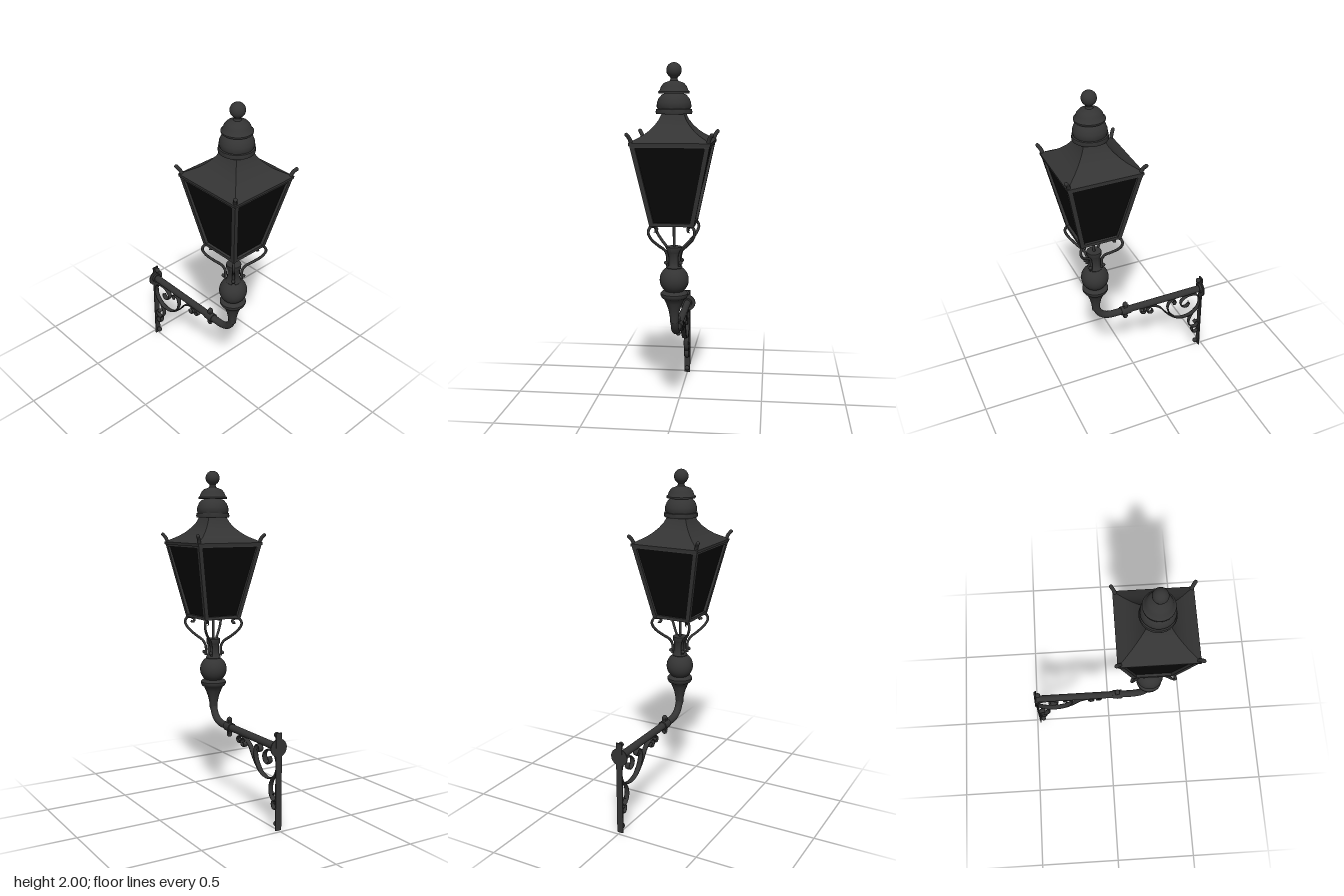
import * as THREE from 'three';
import { toCreasedNormals } from 'three/addons/utils/BufferGeometryUtils.js';

const iron = new THREE.MeshStandardMaterial({ color: 0x343434 });
iron.name = 'cast iron';
const glass = new THREE.MeshStandardMaterial({ color: 0x080808, side: THREE.DoubleSide });
glass.name = 'dark glass';

const AXIS = 0.25; // z of the lantern's axis
const PIPE = 0.475; // height of the wall arm

export function createModel() {
  const root = new THREE.Group();
  root.name = 'wallLantern';
  const lamp = new THREE.Group();
  lamp.name = 'lantern';
  lamp.position.z = AXIS;
  root.add(lamp);

  const add = (parent, name, geo, x = 0, y = 0, z = 0, mat = iron) => {
    const mesh = new THREE.Mesh(geo, mat);
    mesh.name = name;
    mesh.position.set(x, y, z);
    parent.add(mesh);
    return mesh;
  };
  const turned = (pts, sides = 32, start = 0) =>
    new THREE.LatheGeometry(pts.map(([r, y]) => new THREE.Vector2(r, y)), sides, start);
  const lathe = (pts) => toCreasedNormals(turned(pts), 0.7);
  // square section whose profile gives half widths
  const square = (pts) =>
    toCreasedNormals(turned(pts.map(([h, y]) => [h * Math.SQRT2, y]), 4, Math.PI / 4), 0.5);
  const tube = (pts, r, seg = 40, sides = 8) =>
    new THREE.TubeGeometry(new THREE.CatmullRomCurve3(pts.map((p) => new THREE.Vector3(...p))), seg, r, sides);
  const cylZ = (r, len, sides = 24) => new THREE.CylinderGeometry(r, r, len, sides).rotateX(Math.PI / 2);

  // Finial and stacked vent caps
  add(lamp, 'finialBall', new THREE.SphereGeometry(0.042, 24, 16), 0, 1.958, 0);
  add(lamp, 'upperCap', lathe([
    [0, 1.835], [0.085, 1.835], [0.086, 1.845], [0.078, 1.85], [0.07, 1.872], [0.055, 1.89], [0.035, 1.897],
    [0.022, 1.903], [0.018, 1.915], [0.024, 1.925], [0, 1.925]]));
  add(lamp, 'lowerCap', lathe([
    [0, 1.725], [0.098, 1.725], [0.1, 1.735], [0.098, 1.75], [0.09, 1.752], [0.095, 1.765], [0.093, 1.785],
    [0.083, 1.81], [0.066, 1.828], [0.045, 1.836], [0, 1.837]]));

  // Concave hipped roof with an eave lip
  add(lamp, 'roof', square([
    [0, 1.562], [0.216, 1.562], [0.218, 1.578], [0.182, 1.597], [0.15, 1.615], [0.122, 1.637],
    [0.095, 1.665], [0.074, 1.695], [0.06, 1.728]]));

  // Glazing and frame rails
  add(lamp, 'glassPanes', square([[0.106, 1.135], [0.199, 1.563]]), 0, 0, 0, glass);
  for (const [y, half, h, name] of [[1.562, 0.2, 0.022, 'topRail'], [1.13, 0.112, 0.018, 'bottomRail']]) {
    for (const s of [-1, 1]) {
      add(lamp, name, new THREE.BoxGeometry(half * 2 + 0.02, h, 0.022), 0, y, s * half);
      add(lamp, name, new THREE.BoxGeometry(0.022, h, half * 2 + 0.02), s * half, y, 0);
    }
  }
  for (const a of [1, -1]) {
    add(lamp, 'floorBar', new THREE.BoxGeometry(0.3, 0.012, 0.016), 0, 1.13, 0).rotation.y = a * Math.PI / 4;
  }

  // Corner posts, eave horns and scrolled support arms
  for (const sx of [-1, 1]) {
    for (const sz of [-1, 1]) {
      const post = new THREE.BoxGeometry(0.026, 0.44, 0.026);
      const p = post.attributes.position;
      for (let i = 0; i < p.count; i++) {
        const c = p.getY(i) > 0 ? 0.2 : 0.11;
        p.setX(i, p.getX(i) + sx * c);
        p.setZ(i, p.getZ(i) + sz * c);
      }
      post.computeVertexNormals();
      add(lamp, 'cornerPost', post, 0, 1.347, 0);

      const corner = (pts) => pts.map(([d, y]) => [sx * d, y, sz * d]);
      add(lamp, 'eaveHorn', tube(corner([[0.2, 1.562], [0.206, 1.588], [0.213, 1.606], [0.224, 1.622]]), 0.011, 10));
      add(lamp, 'hornTip', new THREE.SphereGeometry(0.011, 10, 8), sx * 0.224, 1.622, sz * 0.224);
      add(lamp, 'supportArm', tube(corner([
        [0.034, 0.885], [0.034, 0.94], [0.046, 0.975], [0.08, 1.01], [0.113, 1.05], [0.127, 1.088],
        [0.118, 1.116], [0.098, 1.118], [0.085, 1.105], [0.09, 1.09], [0.1, 1.094]]), 0.008, 48));
      add(lamp, 'armBolt', new THREE.SphereGeometry(0.011, 10, 8), sx * 0.041, 0.905, sz * 0.041);
    }
  }

  // Central rod, sleeve, ball and bell-shaped neck
  add(lamp, 'centreRod', new THREE.CylinderGeometry(0.008, 0.008, 0.16, 12), 0, 1.055, 0);
  add(lamp, 'sleeve', lathe([
    [0.04, 0.86], [0.046, 0.872], [0.04, 0.885], [0.036, 0.9], [0.036, 0.955], [0.043, 0.965], [0.043, 0.99], [0, 0.99]]));
  add(lamp, 'ball', new THREE.SphereGeometry(0.082, 32, 24), 0, 0.8, 0);
  add(lamp, 'neck', lathe([
    [0.023, 0.55], [0.026, 0.59], [0.034, 0.63], [0.047, 0.665], [0.058, 0.69], [0.07, 0.697], [0.077, 0.71],
    [0.077, 0.722], [0.068, 0.732], [0.05, 0.737], [0, 0.74]]));

  // Bent pipe running back to the wall
  const pipe = new THREE.CurvePath();
  const v = (y, z) => new THREE.Vector3(0, y, z);
  pipe.add(new THREE.CubicBezierCurve3(v(0.6, AXIS), v(0.52, AXIS), v(PIPE, 0.21), v(PIPE, 0.13)));
  pipe.add(new THREE.LineCurve3(v(PIPE, 0.13), v(PIPE, -0.472)));
  add(root, 'pipe', new THREE.TubeGeometry(pipe, 70, 0.022, 20));

  // Clamped coupling with bolts above and below
  add(root, 'coupling', cylZ(0.028, 0.06), 0, PIPE, 0.055);
  for (const s of [-1, 1]) {
    add(root, 'couplingLug', new THREE.BoxGeometry(0.024, 0.02, 0.024), 0, PIPE + s * 0.034, 0.055);
    add(root, 'couplingBolt', new THREE.SphereGeometry(0.016, 12, 8), 0, PIPE + s * 0.046, 0.055);
  }

  // Wall strip, round flange and fixing bolts
  add(root, 'wallStrip', new THREE.BoxGeometry(0.038, 0.56, 0.007), 0, 0.28, -0.4765);
  add(root, 'wallFlange', cylZ(0.052, 0.007, 32), 0, PIPE, -0.4755);
  add(root, 'wallCollar', cylZ(0.03, 0.014), 0, PIPE, -0.466);
  for (const y of [0.545, 0.033]) {
    add(root, 'fixingShank', cylZ(0.009, 0.02, 12), 0, y, -0.466);
    add(root, 'fixingBolt', new THREE.SphereGeometry(0.016, 14, 10), 0, y, -0.456);
  }

  // Flat-bar scrollwork under the arm, as [z, y] paths
  const scrolls = [
    [[-0.065, 0.43], [-0.083, 0.427], [-0.078, 0.412], [-0.06, 0.412], [-0.05, 0.43], [-0.065, 0.448], [-0.12, 0.45],
      [-0.18, 0.42], [-0.24, 0.345], [-0.3, 0.293], [-0.36, 0.276], [-0.42, 0.289], [-0.46, 0.33], [-0.47, 0.38],
      [-0.452, 0.428], [-0.41, 0.445], [-0.365, 0.438], [-0.335, 0.405], [-0.345, 0.37], [-0.375, 0.36],
      [-0.394, 0.38], [-0.382, 0.403]],
    [[-0.12, 0.45], [-0.097, 0.428], [-0.103, 0.402], [-0.124, 0.398], [-0.134, 0.413], [-0.122, 0.423]],
    [[-0.295, 0.296], [-0.255, 0.345], [-0.241, 0.4], [-0.257, 0.44], [-0.287, 0.442], [-0.298, 0.424],
      [-0.285, 0.409], [-0.271, 0.417]],
    [[-0.45, 0.315], [-0.418, 0.28], [-0.4, 0.235], [-0.406, 0.19], [-0.432, 0.165], [-0.46, 0.171], [-0.468, 0.195],
      [-0.452, 0.21], [-0.436, 0.2]],
    [[-0.432, 0.165], [-0.425, 0.14], [-0.438, 0.117], [-0.46, 0.12], [-0.468, 0.14], [-0.453, 0.154]],
  ];
  for (const path of scrolls) {
    const bar = tube(path.map(([z, y]) => [0, y, z]), 0.0045, path.length * 7).scale(3.6, 1, 1);
    add(root, 'scroll', bar);
  }
  return root;
}
